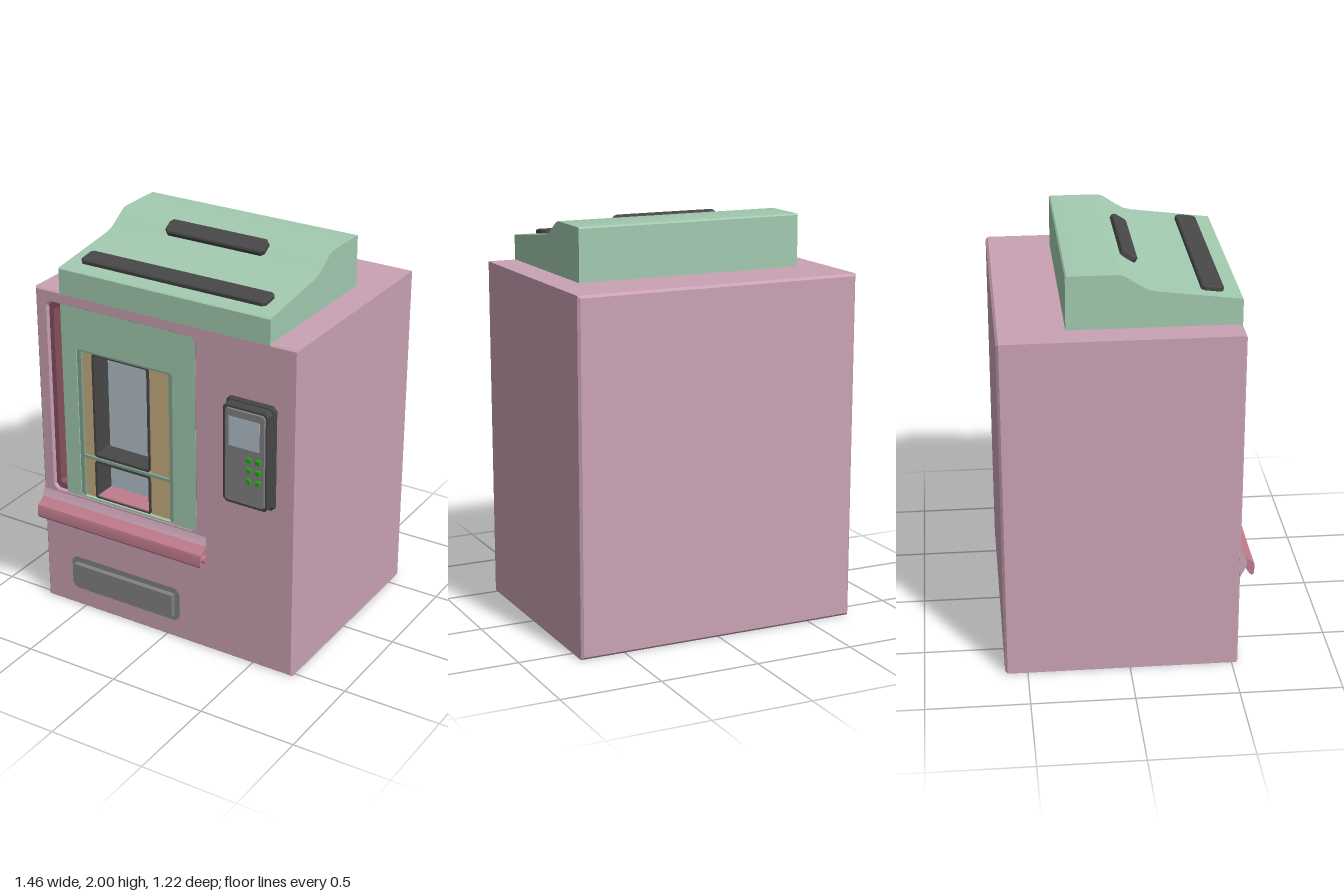
import * as THREE from 'three';
import { toCreasedNormals } from 'three/addons/utils/BufferGeometryUtils.js';

const mat = (color) => new THREE.MeshStandardMaterial({ color });
const PINK = mat(0xcaa2b4), GREEN = mat(0xa2caaf), ROSE = mat(0xbf7b8c), DARK_ROSE = mat(0x87505f);
const TAN = mat(0xc9b080), GLASS = mat(0xb4c1cb), BLACK = mat(0x484848), GREY = mat(0x828282);
const TRIM = mat(0x83a590), BUTTON = mat(0x22aa10);

// rectangle outline with corners cut by c
function rect(x0, x1, y0, y1, c = 0, Type = THREE.Shape) {
  const pts = c
    ? [[x0 + c, y0], [x1 - c, y0], [x1, y0 + c], [x1, y1 - c], [x1 - c, y1], [x0 + c, y1], [x0, y1 - c], [x0, y0 + c]]
    : [[x0, y0], [x1, y0], [x1, y1], [x0, y1]];
  return new Type(pts.map(([x, y]) => new THREE.Vector2(x, y)));
}

export function createModel() {
  const model = new THREE.Group();

  function add(name, geometry, material, parent = model) {
    const mesh = new THREE.Mesh(geometry, material);
    mesh.name = name;
    parent.add(mesh);
    return mesh;
  }

  // plate facing +z between z0 and z1, with bevelled rim b kept inside the outline
  function plate(name, shape, holes, z0, z1, material, b = 0, parent = model) {
    shape.holes.push(...holes);
    const g = new THREE.ExtrudeGeometry(shape, {
      depth: z1 - z0 - 2 * b, bevelEnabled: b > 0, bevelThickness: b, bevelSize: b, bevelOffset: -b, bevelSegments: 1,
    });
    g.translate(0, 0, z0 + b);
    return add(name, g, material, parent);
  }

  function box(name, x0, x1, y0, y1, z0, z1, material, parent = model) {
    const g = new THREE.BoxGeometry(x1 - x0, y1 - y0, z1 - z0);
    g.translate((x0 + x1) / 2, (y0 + y1) / 2, (z0 + z1) / 2);
    return add(name, g, material, parent);
  }

  // side profile of [z, y] points swept along x
  function sweep(name, points, x0, x1, material, crease = 0.2) {
    const shape = new THREE.Shape(points.map(([z, y]) => new THREE.Vector2(-z, y)));
    const g = new THREE.ExtrudeGeometry(shape, { depth: x1 - x0, bevelEnabled: false });
    g.rotateY(Math.PI / 2);
    g.translate(x0, 0, 0);
    return add(name, toCreasedNormals(g, crease), material);
  }

  const hole = (...a) => rect(...a, THREE.Path);

  // cabinet: solid rear and a front wall with the wide display opening
  plate('cabinetRear', rect(-0.73, 0.725, 0, 1.73), [], -0.61, 0.38, PINK, 0.012);
  plate('cabinetFront', rect(-0.73, 0.725, 0, 1.73), [hole(-0.66, 0.175, 0.65, 1.665, 0.02)], 0.34, 0.53, PINK, 0.008);

  // narrow side window left of the inner panel
  plate('sideWindowFrame', rect(-0.668, -0.56, 0.645, 1.67), [hole(-0.635, -0.57, 0.68, 1.64, 0.012)], 0.375, 0.515, DARK_ROSE);
  box('sideWindowGlass', -0.65, -0.56, 0.65, 1.66, 0.375, 0.39, GLASS);

  // inner panel with a cut-out for the main window
  plate('innerPanel', rect(-0.585, 0.18, 0.645, 1.67), [hole(-0.5, 0.05, 0.655, 1.455, 0.01)], 0.37, 0.528, GREEN);

  // main window: backing panel, two lined openings, glass and trim
  const openings = [[-0.42, -0.09, 0.885, 1.445], [-0.42, -0.09, 0.65, 0.865]];
  plate('windowPanel', rect(-0.505, 0.055, 0.645, 1.46), openings.map((o) => hole(...o, 0)), 0.38, 0.51, TAN);
  openings.forEach(([x0, x1, y0, y1]) => {
    plate('windowLining', rect(x0, x1, y0, y1, 0.012), [hole(x0 + 0.013, x1 - 0.013, y0 + 0.013, y1 - 0.013, 0.006)], 0.39, 0.516, BLACK);
    box('windowGlass', x0, x1, y0, y1, 0.385, 0.4, GLASS);
  });
  box('windowSill', -0.407, -0.103, 0.65, 0.67, 0.4, 0.515, ROSE);
  for (const x of [-0.488, 0.038]) box('sideRail', x - 0.011, x + 0.011, 0.65, 1.455, 0.5, 0.524, TRIM);
  for (const y of [0.877, 1.451]) box('crossRail', -0.499, 0.049, y - 0.007, y + 0.007, 0.5, 0.524, TRIM);

  // sloping hood
  sweep('hood', [[0.53, 1.72], [0.53, 1.85], [0.525, 1.855], [0.13, 1.905], [0.09, 1.915], [0.06, 1.932], [-0.015, 1.982],
    [-0.04, 1.99], [-0.28, 1.99], [-0.287, 1.983], [-0.287, 1.72]], -0.585, 0.58, GREEN, 0.5);

  // dark bars lying on the hood slopes
  const bar = (name, x0, x1, length, thickness, y, z, tilt) => {
    const g = new THREE.ExtrudeGeometry(rect(x0 + 0.007, x1 - 0.007, -length / 2 + 0.007, length / 2 - 0.007, 0.012), {
      depth: thickness - 0.014, bevelThickness: 0.007, bevelSize: 0.007, bevelSegments: 1,
    });
    g.translate(0, 0, 0.007 - thickness / 2);
    const mesh = add(name, g, BLACK);
    mesh.rotation.x = -Math.PI / 2 + tilt;
    mesh.position.set(0, y, z);
  };
  bar('frontHoodBar', -0.517, 0.502, 0.105, 0.032, 1.879, 0.397, 0.13);
  bar('topHoodBar', -0.285, 0.267, 0.085, 0.04, 1.961, 0.032, 0.56);

  // counter ledge: flared root and rounded lip
  sweep('ledgeRoot', [[0.525, 0.645], [0.533, 0.625], [0.548, 0.585], [0.56, 0.572], [0.56, 0.54], [0.525, 0.47]], -0.73, 0.235, PINK, 0.6);
  sweep('ledgeLip', [[0.54, 0.595], [0.57, 0.572], [0.592, 0.56], [0.597, 0.545], [0.597, 0.5], [0.588, 0.488],
    [0.575, 0.495], [0.55, 0.535]], -0.728, 0.245, ROSE, 0.6);
  const knob = add('ledgeEndCap', new THREE.CylinderGeometry(0.013, 0.022, 0.02, 8), ROSE);
  knob.rotation.z = -Math.PI / 2;
  knob.position.set(0.25, 0.535, 0.574);

  // collection flap near the floor
  plate('flapSurround', rect(-0.57, 0.08, 0.1, 0.285, 0.025), [], 0.5, 0.533, GREY);
  box('flap', -0.54, 0.052, 0.13, 0.255, 0.52, 0.56, GREY);

  // control panel
  const panel = new THREE.Group();
  panel.name = 'controlPanel';
  model.add(panel);
  plate('panelRim', rect(0.355, 0.622, 0.89, 1.43, 0.02), [], 0.52, 0.548, BLACK, 0.01, panel);
  plate('panelCase', rect(0.366, 0.611, 0.902, 1.415, 0.018), [], 0.53, 0.59, BLACK, 0.006, panel);
  plate('panelFace', rect(0.382, 0.597, 0.918, 1.4, 0.012), [], 0.58, 0.597, GREY, 0.004, panel);
  box('screen', 0.405, 0.57, 1.21, 1.36, 0.59, 0.599, GLASS, panel);
  for (const x of [0.516, 0.565]) {
    for (const y of [1.05, 1.105, 1.16]) {
      plate('button', rect(x - 0.013, x + 0.013, y - 0.013, y + 0.013, 0.004), [], 0.59, 0.609, BUTTON, 0.003, panel);
    }
  }

  return model;
}
